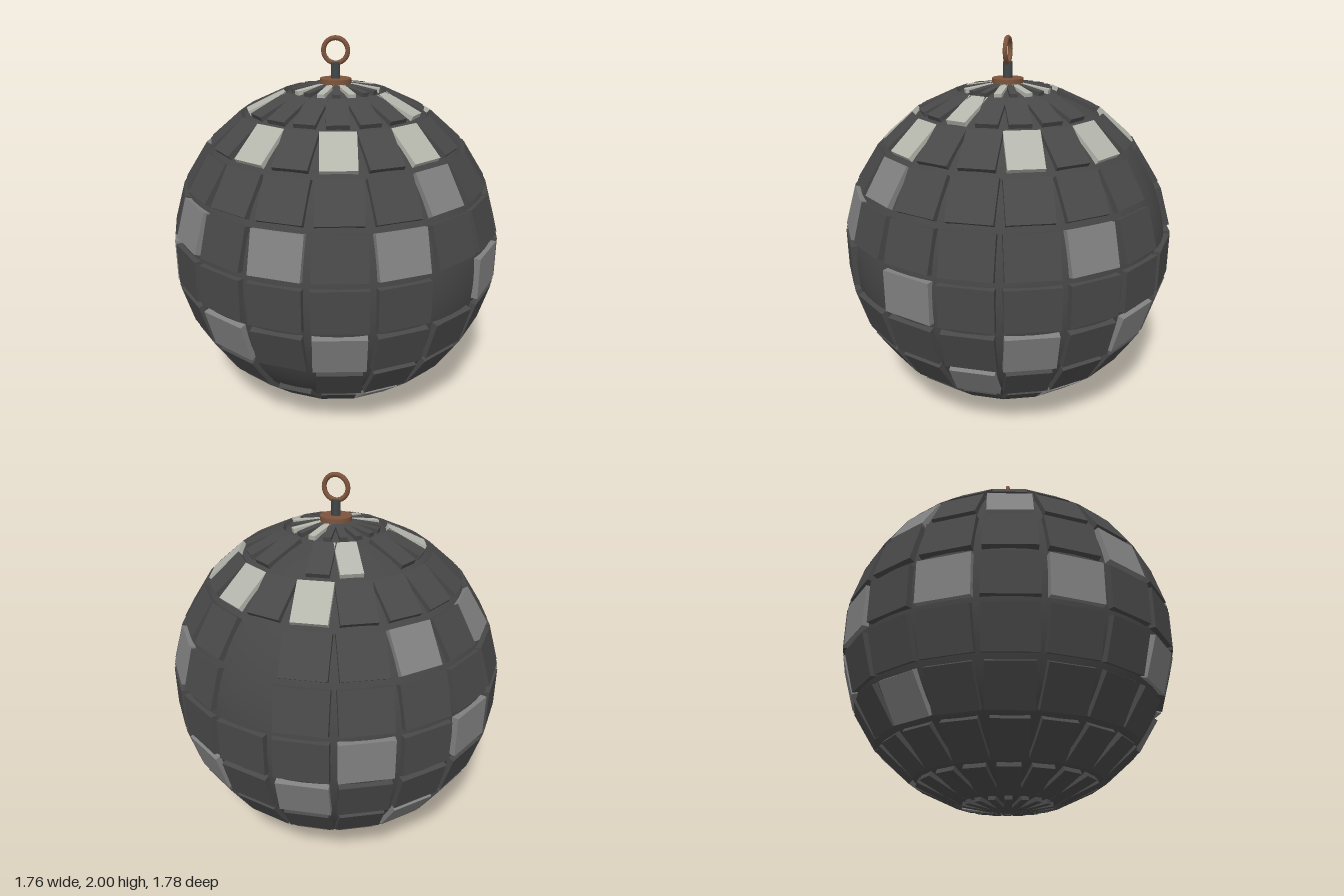
import * as THREE from 'three';

const CENTER_Y = 0.885;   // ball centre
const CORE_R = 0.862;     // inner sphere
const TILE_R = 0.878;     // distance of the tiles' outer faces
const DEPTH = 0.035;
const ROWS = 5;           // rows above and below the equator
const COLS = 18;

// Columns of pale and missing tiles for each row (0 is the equator)
const PALE = {
  5: [0, 3, 5, 7, 14, 16],
  4: [1, 8, 12],
  3: [2, 4, 6, 13, 15, 17],
  2: [2, 9, 11],
  1: [3, 5, 7, 16],
  0: [1, 8, 10, 12],
  '-1': [4, 6, 13, 15, 17],
  '-2': [0, 11],
  '-3': [3, 14, 16],
  '-4': [1],
  '-5': [14],
};
const MISSING = { 4: [11, 14], 2: [14], 1: [14], 0: [2], '-2': [5] };

function material(name, color) {
  const m = new THREE.MeshStandardMaterial({ color });
  m.name = name;
  return m;
}

export function createModel() {
  const model = new THREE.Group();
  model.name = 'mirrorBall';

  const charcoal = material('charcoal', 0x464646);
  const darkTile = material('darkTile', 0x484848);
  const greyTile = material('greyTile', 0x808080);
  const silverTile = material('silverTile', 0xb4b6ac);
  const copper = material('copper', 0x7c543c);
  const steel = material('darkSteel', 0x414646);

  const add = (name, geometry, mat, y, parent = model) => {
    const mesh = new THREE.Mesh(geometry, mat);
    mesh.name = name;
    mesh.position.y = y;
    parent.add(mesh);
    return mesh;
  };

  // Smooth core
  add('core', new THREE.SphereGeometry(CORE_R, 72, 48), charcoal, CENTER_Y);

  // Rows of flat rectangular tiles, narrower towards the poles
  const tiles = new THREE.Group();
  tiles.name = 'tiles';
  tiles.position.y = CENTER_Y;
  model.add(tiles);
  for (let row = -ROWS; row <= ROWS; row++) {
    const lat = (row * Math.PI) / (2 * ROWS + 1);
    const width = (0.89 * 2 * Math.PI * CORE_R * Math.cos(lat)) / COLS;
    const geometry = new THREE.BoxGeometry(DEPTH, 0.215, width);
    const r = TILE_R - DEPTH / 2;
    for (let col = 0; col < COLS; col++) {
      if (MISSING[row]?.includes(col)) continue;
      const a = (col * 2 * Math.PI) / COLS;
      const pale = PALE[row].includes(col);
      const mat = !pale ? darkTile : row >= 3 ? silverTile : greyTile;
      const tile = add('tile', geometry, mat, 0, tiles);
      tile.position.set(r * Math.cos(lat) * Math.cos(a), r * Math.sin(lat), r * Math.cos(lat) * Math.sin(a));
      tile.rotation.set(0, -a, lat, 'YZX');
    }
  }

  // Hanger: cap, stem and ring
  add('cap', new THREE.CylinderGeometry(0.082, 0.082, 0.035, 32), copper, 1.767);
  add('stem', new THREE.CylinderGeometry(0.024, 0.024, 0.09, 20), steel, 1.822);
  add('hangingRing', new THREE.TorusGeometry(0.063, 0.0125, 12, 40), copper, 1.9245);

  return model;
}
